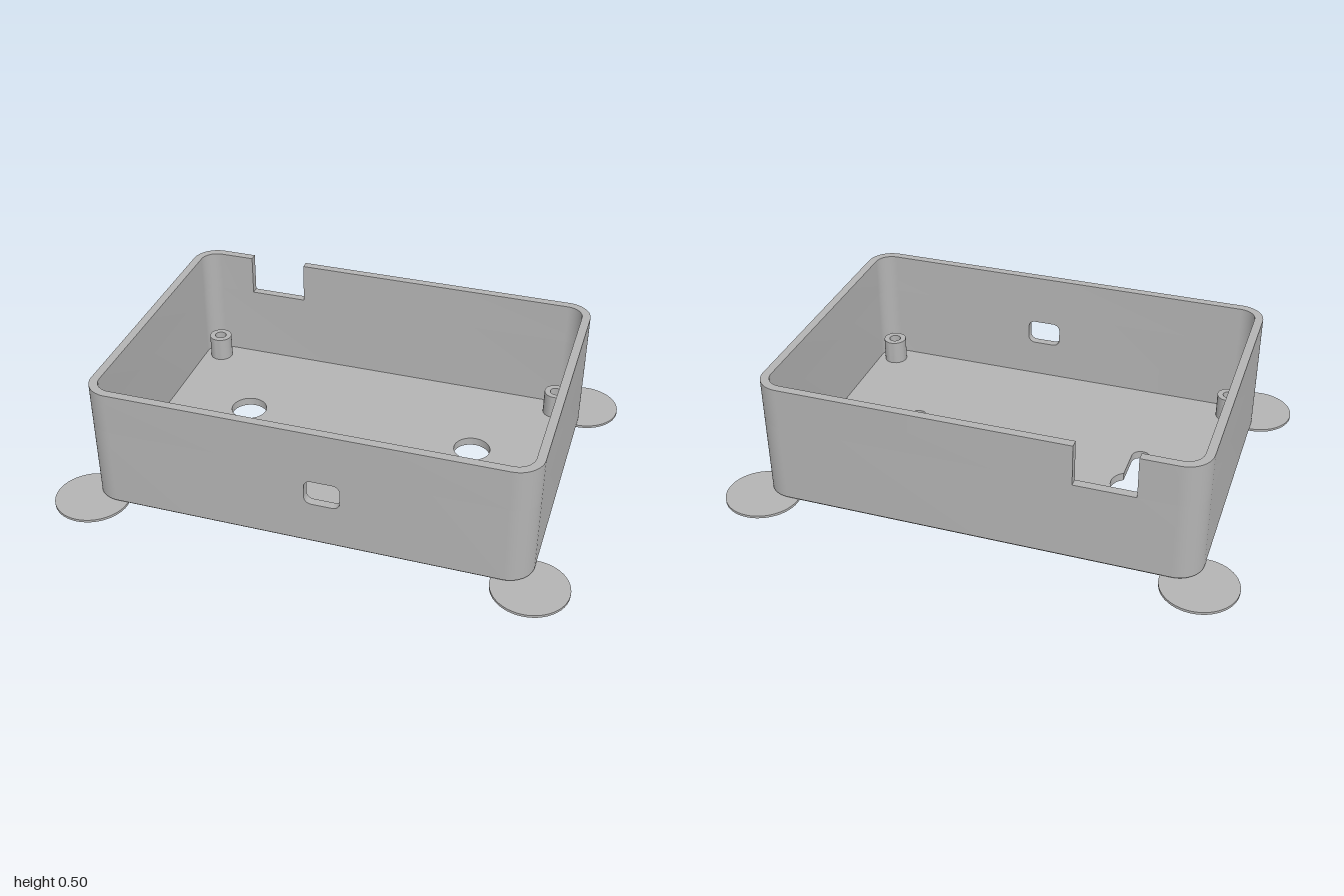
import * as THREE from 'three';
import { toCreasedNormals } from 'three/addons/utils/BufferGeometryUtils.js';

const HX = 0.853, HZ = 0.587, HEIGHT = 0.5, RADIUS = 0.1;
const WALL = 0.033, FLOOR = 0.033, BEVEL = 0.016, NOTCH_Y = 0.335;

// Rounded rectangle corners, counter-clockwise from front right
function outline(inset) {
  const r = RADIUS - inset, steps = 12, points = [];
  [[1, -1], [1, 1], [-1, 1], [-1, -1]].forEach(([sx, sy], k) => {
    for (let i = 0; i <= steps; i++) {
      const a = (k - 1 + i / steps) * Math.PI / 2;
      points.push(new THREE.Vector2(
        sx * (HX - RADIUS) + r * Math.cos(a), sy * (HZ - RADIUS) + r * Math.sin(a)));
    }
  });
  return points;
}

// Extrude a plan shape upwards from y0 to y1 (shape y becomes -z)
function extrudeUp(shape, y0, y1) {
  const g = new THREE.ExtrudeGeometry(shape, { depth: y1 - y0, bevelEnabled: false, curveSegments: 20 });
  g.rotateX(-Math.PI / 2).translate(0, y0, 0);
  return toCreasedNormals(g, 0.5);
}

// Wall running round the box with a gap from x = a to b in the front (side 1) or back (side -1)
function wallWithGap(a, b, side, y0, y1) {
  const [lo, hi] = side > 0 ? [a, b] : [-b, -a];
  const loop = (inset) => [
    new THREE.Vector2(hi, inset - HZ), ...outline(inset), new THREE.Vector2(lo, inset - HZ)];
  const points = [...loop(0), ...loop(WALL).reverse()].map((p) => p.multiplyScalar(side));
  return extrudeUp(new THREE.Shape(points), y0, y1);
}

// Keyhole: round head with a slot running to the front
function keyhole(x) {
  const r = 0.073, w = 0.037, headY = 0.12, endY = -0.073;
  const a = Math.asin(w / r);
  const path = new THREE.Path();
  path.absarc(x, headY, r, -Math.PI / 2 + a, 1.5 * Math.PI - a, false);
  path.absarc(x, endY, w, Math.PI, 2 * Math.PI, false);
  path.closePath();
  return path;
}

// Sloped band round the bottom edge
function bevelBand() {
  const low = outline(BEVEL), high = outline(0), n = low.length, pos = [], index = [];
  for (let i = 0; i < n; i++) {
    pos.push(low[i].x, 0, -low[i].y, high[i].x, BEVEL, -high[i].y);
    const a = 2 * i, b = 2 * ((i + 1) % n);
    index.push(a, b, b + 1, a, b + 1, a + 1);
  }
  const g = new THREE.BufferGeometry();
  g.setAttribute('position', new THREE.Float32BufferAttribute(pos, 3));
  g.setIndex(index);
  return toCreasedNormals(g, 0.5);
}

// Short panel of the front wall with a rounded port opening
function portPanel(x0, x1, y0, y1) {
  const shape = new THREE.Shape();
  shape.moveTo(x0, y0).lineTo(x1, y0).lineTo(x1, y1).lineTo(x0, y1).closePath();
  const l = 0.01, r = 0.147, b = 0.187, t = 0.289, c = 0.028;
  const hole = new THREE.Path();
  hole.absarc(r - c, b + c, c, -Math.PI / 2, 0, false);
  hole.absarc(r - c, t - c, c, 0, Math.PI / 2, false);
  hole.absarc(l + c, t - c, c, Math.PI / 2, Math.PI, false);
  hole.absarc(l + c, b + c, c, Math.PI, 1.5 * Math.PI, false);
  hole.closePath();
  shape.holes.push(hole);
  const g = new THREE.ExtrudeGeometry(shape, { depth: WALL, bevelEnabled: false, curveSegments: 8 });
  g.translate(0, 0, HZ - WALL);
  return toCreasedNormals(g, 0.5);
}

export function createModel() {
  const model = new THREE.Group();
  model.name = 'enclosure';
  const plastic = new THREE.MeshStandardMaterial({ color: 0xb3b3b3 });
  plastic.name = 'grey plastic';
  const add = (name, geometry, x = 0, y = 0, z = 0) => {
    const mesh = new THREE.Mesh(geometry, plastic);
    mesh.name = name;
    mesh.position.set(x, y, z);
    model.add(mesh);
  };

  // Floor with two hanging keyholes
  const floorShape = new THREE.Shape(outline(BEVEL));
  floorShape.holes.push(keyhole(-0.48), keyhole(0.48));
  add('floor', extrudeUp(floorShape, 0, FLOOR));
  add('bottomBevel', bevelBand());

  // Walls: port opening in the front, open notch in the back
  add('lowerWall', wallWithGap(-0.03, 0.187, 1, BEVEL, NOTCH_Y));
  add('portPanel', portPanel(-0.03, 0.187, BEVEL, NOTCH_Y));
  add('upperWall', wallWithGap(-0.613, -0.38, -1, NOTCH_Y, HEIGHT));

  // Hollow screw posts and thin corner pads
  const postProfile = [[0.047, 0], [0.047, 0.1], [0.024, 0.1], [0.024, 0.001]]
    .map(([x, y]) => new THREE.Vector2(x, y));
  const post = toCreasedNormals(new THREE.LatheGeometry(postProfile, 32), 0.5);
  const pad = new THREE.CylinderGeometry(0.145, 0.145, 0.01, 48);
  for (const sx of [-1, 1]) {
    for (const sz of [-1, 1]) {
      add('screwPost', post, sx * 0.75, FLOOR, sz * 0.481);
      add('cornerPad', pad, sx * 0.855, 0.005, sz * 0.588);
    }
  }
  return model;
}
